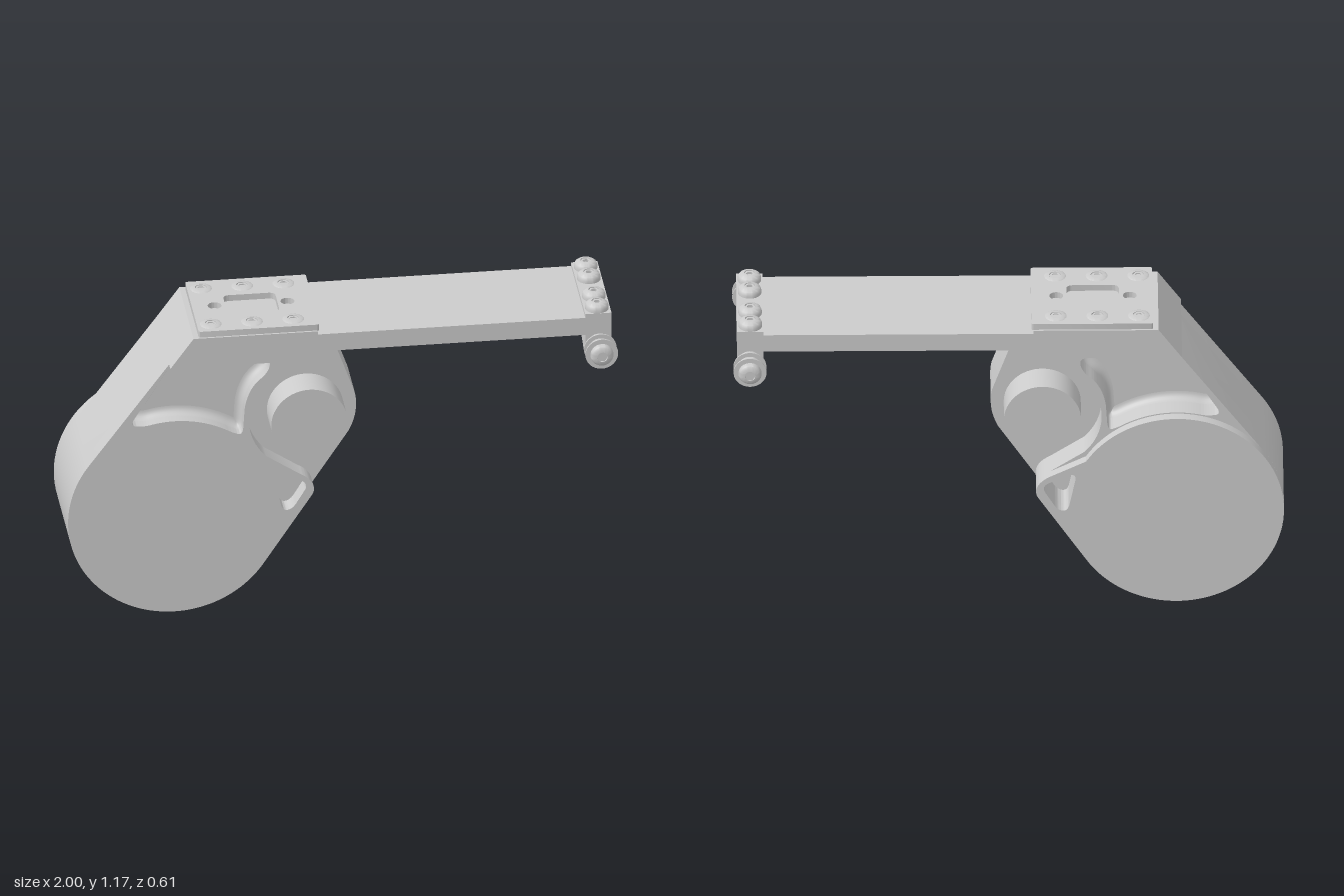
import * as THREE from 'three';
import { toCreasedNormals } from 'three/addons/utils/BufferGeometryUtils.js';

const grey = new THREE.MeshStandardMaterial({ color: 0xcccccc });
const greyDouble = new THREE.MeshStandardMaterial({ color: 0xcccccc, side: THREE.DoubleSide });
const DRUM = { x: -0.61, y: 0.39, r: 0.39 };
const MOTOR = { x: -0.123, y: 0.77, r: 0.14 };

function add(parent, name, geometry, material = grey) {
  const mesh = new THREE.Mesh(geometry, material);
  mesh.name = name;
  parent.add(mesh);
  return mesh;
}

// Extrude along z; the outline is made counter-clockwise so that hole walls face inwards
function extrude(shape, z0, z1) {
  const pts = shape.getPoints(40);
  const outline = new THREE.Shape(THREE.ShapeUtils.isClockWise(pts) ? pts.reverse() : pts);
  outline.holes = shape.holes;
  const g = new THREE.ExtrudeGeometry(outline, { depth: z1 - z0, bevelEnabled: false, curveSegments: 24 });
  g.translate(0, 0, z0);
  return toCreasedNormals(g, 0.5);
}

// Closed outline with every corner eased by radius r
function rounded(points, r, Type = THREE.Shape) {
  const s = new Type(), v = points.map(p => new THREE.Vector2(...p)), n = v.length;
  for (let i = 0; i < n; i++) {
    const c = v[i];
    const [a, b] = [v[(i + n - 1) % n], v[(i + 1) % n]].map(o =>
      c.clone().lerp(o, Math.min(0.48, r / c.distanceTo(o))));
    if (i) s.lineTo(a.x, a.y); else s.moveTo(a.x, a.y);
    s.quadraticCurveTo(c.x, c.y, b.x, b.y);
  }
  s.closePath();
  return s;
}

// Points along a circle
function arc(c, r, a0, a1, n) {
  return Array.from({ length: n + 1 }, (_, i) => {
    const a = a0 + (a1 - a0) * i / n;
    return [c.x + r * Math.cos(a), c.y + r * Math.sin(a)];
  });
}

// Underside of the drum, from its right tangent round to its left tangent
function startDrum() {
  const s = new THREE.Shape();
  s.absarc(DRUM.x, DRUM.y, DRUM.r, -0.579, -3.773, true);
  return s;
}

// Small lug at the lower right, closing back on the right tangent
function lug(s) {
  s.lineTo(-0.15, 0.535);
  s.bezierCurveTo(-0.105, 0.512, -0.088, 0.474, -0.107, 0.445);
  s.closePath();
}

const pocketOutline = Type => rounded([
  [-0.622, 1.02], [-0.257, 1.02], [-0.265, 0.965], [-0.325, 0.91], [-0.352, 0.84], [-0.36, 0.71],
  ...arc(DRUM, 0.395, 1.0, 1.85, 8), [-0.775, 0.775]], 0.035, Type);
const lugHole = () => rounded([[-0.247, 0.542], [-0.212, 0.542], [-0.118, 0.492], [-0.178, 0.392], [-0.215, 0.388]],
  0.03, THREE.Path);

// Curved fillet from the pocket wall down to its floor
function pocketFillet(floor, sign) {
  const pts = pocketOutline(THREE.Shape).getSpacedPoints(140).slice(0, -1), n = pts.length;
  const R = 0.028, steps = 6, pos = [], idx = [];
  for (let k = 0; k <= steps; k++) {
    const t = k / steps * Math.PI / 2;
    const inset = R * (1 - Math.cos(t)), z = floor + sign * R * (1 - Math.sin(t));
    pts.forEach((p, i) => {
      const d = pts[(i + 1) % n].clone().sub(pts[(i + n - 1) % n]).normalize();
      pos.push(p.x + d.y * inset, p.y - d.x * inset, z + sign * 0.001);
      if (k < steps) {
        const a = k * n + i, b = k * n + (i + 1) % n;
        idx.push(a, b, a + n, b, b + n, a + n);
      }
    });
  }
  const g = new THREE.BufferGeometry();
  g.setAttribute('position', new THREE.Float32BufferAttribute(pos, 3));
  g.setIndex(idx);
  g.computeVertexNormals();
  return g;
}

const lathe = profile => toCreasedNormals(
  new THREE.LatheGeometry(profile.map(p => new THREE.Vector2(...p)), 32), 0.6);

// Domed screw with a hex socket, base at y = 0
function screw(parent, name, r, h) {
  const g = new THREE.Group();
  g.name = name;
  add(g, 'screwHead', lathe([[0, 0], [r, 0], [r, h * 0.35], [r * 0.9, h * 0.72], [r * 0.7, h * 0.93],
    [r * 0.45, h], [r * 0.45, h * 0.4], [0, h * 0.4]]), greyDouble);
  const collar = add(g, 'hexSocket', new THREE.RingGeometry(r * 0.28, r * 0.46, 6), greyDouble);
  collar.rotation.x = -Math.PI / 2;
  collar.position.y = h * 0.9;
  parent.add(g);
  return g;
}

export function createModel() {
  const model = new THREE.Group();
  model.name = 'motorArm';

  // Central web carrying the motor
  const web = startDrum();
  [[-0.63, 1.02], [-0.55, 1.13], [-0.1, 1.13], [-0.1, 1.055]].forEach(p => web.lineTo(...p));
  web.lineTo(-0.05, 1.04);
  web.quadraticCurveTo(-0.015, 1.035, -0.008, 1.01);
  web.lineTo(0.058, 0.825);
  web.quadraticCurveTo(0.077, 0.745, 0.037, 0.665);
  web.closePath();
  add(model, 'web', extrude(web, -0.095, 0.095));

  // Wide housing with side pockets and a recess round the motor
  const housing = startDrum();
  [[-0.63, 1.02], [-0.61, 1.045], [-0.1, 1.045]].forEach(p => housing.lineTo(...p));
  arc(MOTOR, 0.215, 2.15, 3.93, 24).forEach(p => housing.lineTo(...p));
  lug(housing);
  housing.holes.push(pocketOutline(THREE.Path), lugHole());
  add(model, 'housing', extrude(housing, -0.2, 0.165));
  for (const s of [1, -1]) add(model, 'pocketFillet', pocketFillet(s * 0.095, s), greyDouble);

  // Raised rear cover of the drum
  const cover = new THREE.Shape();
  cover.absarc(DRUM.x, DRUM.y, DRUM.r, -0.579, 0.567 - Math.PI * 2, true);
  lug(cover);
  cover.holes.push(lugHole());
  add(model, 'rearCover', extrude(cover, -0.237, -0.2));

  // Motor passing through the web
  const motor = add(model, 'motor', new THREE.CylinderGeometry(MOTOR.r, MOTOR.r, 0.44, 64));
  motor.rotation.x = Math.PI / 2;
  motor.position.set(MOTOR.x, MOTOR.y, 0);

  // Top block
  const block = new THREE.Shape([[-0.63, 1.02], [-0.27, 1.02], [-0.13, 1.02], [-0.09, 1.055], [-0.09, 1.138],
    [-0.545, 1.138]].map(p => new THREE.Vector2(...p)));
  add(model, 'topBlock', extrude(block, -0.2, 0.2));

  // Clamp plate with window and pin holes; six screw heads sit almost flush in it
  const plate = rounded([[-0.525, -0.193], [-0.083, -0.193], [-0.083, 0.193], [-0.525, 0.193]], 0.01);
  plate.holes.push(rounded([[-0.403, -0.072], [-0.212, -0.072], [-0.212, 0.072], [-0.403, 0.072]], 0.025, THREE.Path));
  const hole = (x, y, r) => plate.holes.push(new THREE.Path().absarc(x, y, r, 0, Math.PI * 2, true));
  hole(-0.442, 0, 0.025);
  hole(-0.175, 0, 0.025);
  for (const x of [-0.474, -0.323, -0.172]) for (const z of [-0.137, 0.137]) {
    hole(x, z, 0.0225);
    screw(model, 'plateScrew', 0.048, 0.02).position.set(x, 1.146, z);
  }
  const plateGeo = extrude(plate, 0, 0.026);
  plateGeo.rotateX(-Math.PI / 2);
  add(model, 'clampPlate', plateGeo).position.y = 1.136;

  // Long flat arm
  const arm = add(model, 'arm', new THREE.BoxGeometry(1.01, 0.07, 0.4));
  arm.position.set(0.395, 1.09, 0);

  // End bracket, arched underneath
  const end = new THREE.Shape();
  end.moveTo(-0.2, 1.14);
  end.lineTo(-0.2, 0.97);
  end.lineTo(-0.155, 0.97);
  end.quadraticCurveTo(0, 1.045, 0.155, 0.97);
  end.lineTo(0.2, 0.97);
  end.lineTo(0.2, 1.14);
  end.closePath();
  const endGeo = extrude(end, -0.048, 0.048);
  endGeo.rotateY(Math.PI / 2);
  add(model, 'endBracket', endGeo).position.x = 0.938;
  for (const z of [-0.157, -0.07, 0.07, 0.157])
    screw(model, 'bracketScrew', 0.043, 0.03).position.set(0.938, 1.14, z);

  // Side rollers: hub, two washers and a screw at each end
  for (const s of [1, -1]) {
    const roller = new THREE.Group();
    roller.name = s > 0 ? 'frontRoller' : 'rearRoller';
    add(roller, 'hub', lathe([[0, 0], [0.042, 0], [0.042, 0.036], [0.06, 0.036], [0.06, 0.042], [0.044, 0.042],
      [0.044, 0.076], [0.06, 0.076], [0.06, 0.082], [0, 0.082]]), greyDouble);
    screw(roller, 'rollerScrew', 0.042, 0.024).position.y = 0.082;
    roller.position.set(0.94, 1.015, s * 0.199);
    roller.rotation.x = s * Math.PI / 2;
    model.add(roller);
  }
  return model;
}
